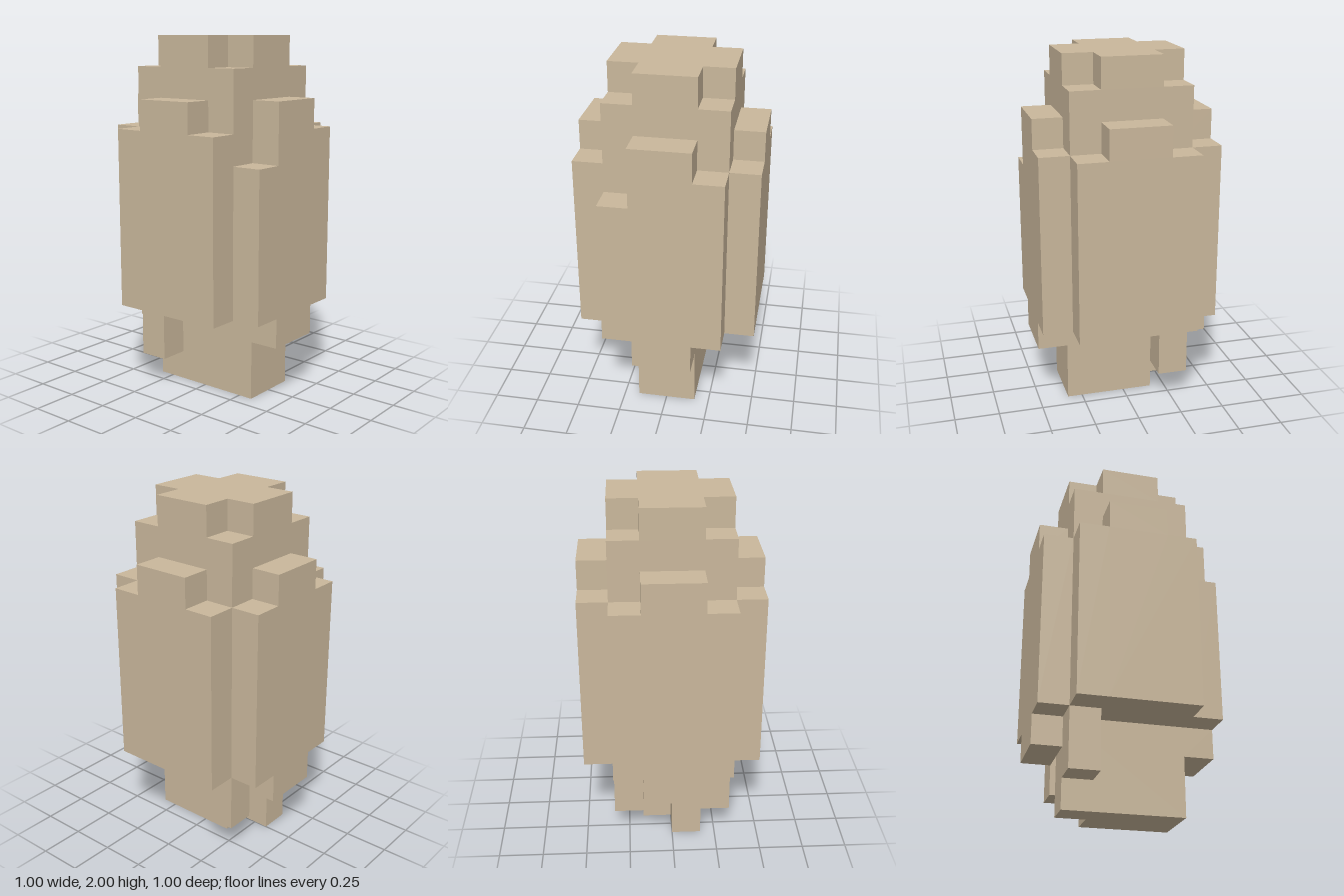
import * as THREE from 'three';

// All sizes are in blocks; twelve blocks make the full height of 2
const BLOCK = 1 / 6;

const sandstone = new THREE.MeshStandardMaterial({ color: 0xc9b79b });
sandstone.name = 'sandstone';

function extrude(points, depth) {
  const shape = new THREE.Shape(points.map(([a, b]) => new THREE.Vector2(a, b)));
  return new THREE.ExtrudeGeometry(shape, { depth, bevelEnabled: false });
}

// Upright prism from a floor plan of [x, z] corners
function prism(name, plan, y0, y1) {
  const geometry = extrude(plan.map(([x, z]) => [x, -z]), y1 - y0);
  geometry.rotateX(-Math.PI / 2).translate(0, y0, 0);
  const mesh = new THREE.Mesh(geometry, sandstone);
  mesh.name = name;
  return mesh;
}

// One-block-thick side slab with stepped top and bottom, turned about y
function slab(name, angle, { leftTop = 9, rightTop = 9, footBottom = 3 }) {
  const outline = [[-2, 3], [-1, 3]];
  if (footBottom < 3) outline.push([-1, footBottom], [1, footBottom], [1, 3]);
  outline.push([2, 3], [2, rightTop], [1, rightTop], [1, 10], [-1, 10], [-1, leftTop], [-2, leftTop]);
  const mesh = new THREE.Mesh(extrude(outline, 1).translate(0, 0, 2), sandstone);
  mesh.name = name;
  mesh.rotation.y = angle;
  return mesh;
}

const rect = (x0, x1, z0, z1) => [[x0, z0], [x1, z0], [x1, z1], [x0, z1]];

export function createModel() {
  const model = new THREE.Group();
  model.name = 'blockPillar';
  model.scale.setScalar(BLOCK);

  // Square core with a cross-shaped cap
  const cross = [[-1, -2], [1, -2], [1, -1], [2, -1], [2, 1], [1, 1],
    [1, 2], [-1, 2], [-1, 1], [-2, 1], [-2, -1], [-1, -1]];
  model.add(prism('core', rect(-2, 2, -2, 2), 3, 11), prism('cap', cross, 11, 12));

  // Four side slabs
  model.add(
    slab('frontSlab', 0, { leftTop: 8, footBottom: 2 }),
    slab('leftSlab', Math.PI / 2, {}),
    slab('backSlab', Math.PI, { footBottom: 2 }),
    slab('rightSlab', -Math.PI / 2, {}),
  );

  // Base with a notched back corner
  const base = [[-1, -2], [0, -2], [0, -1], [1, -1], [1, 2], [-1, 2]];
  model.add(prism('base', base, 0, 3));

  // Hanging blocks under the two back corners
  model.add(
    prism('leftHangingBlock', rect(1, 2, -2, -1), 1, 3),
    prism('rightHangingBlock', rect(-2, -1, -2, -1), 1, 3),
  );
  return model;
}
